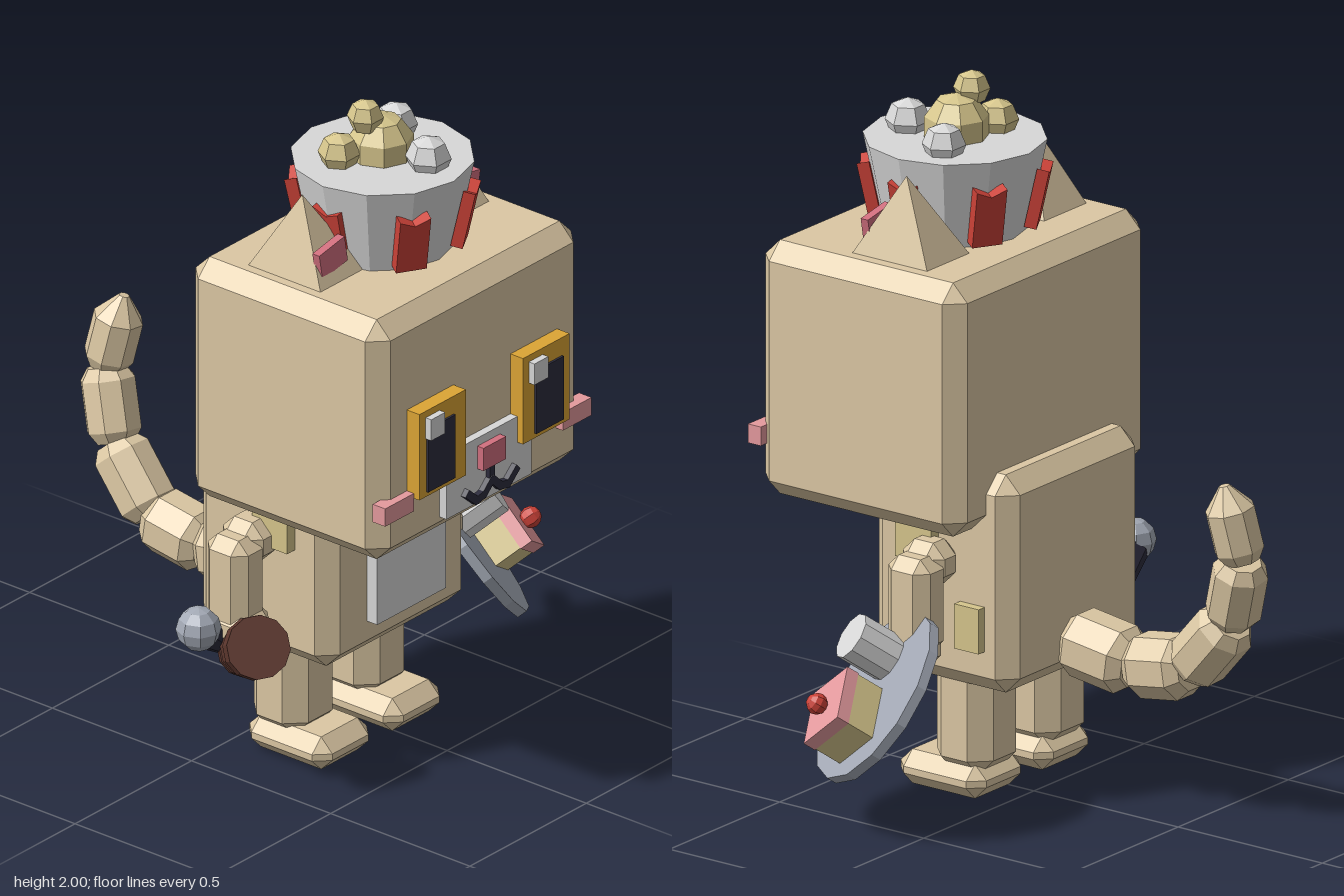
import * as THREE from 'three';
import { ConvexGeometry } from 'three/addons/geometries/ConvexGeometry.js';

const V = (x, y, z) => new THREE.Vector3(x, y, z);
const CX = -0.08; // symmetry plane of the figure
const UP = V(0, 1, 0);

function material(name, color) {
  const m = new THREE.MeshStandardMaterial({ color });
  m.name = name;
  return m;
}

// Faceted copy of a geometry
function flat(geo) {
  const g = geo.index ? geo.toNonIndexed() : geo;
  g.computeVertexNormals();
  return g;
}

// Box with all edges cut at 45 degrees
function chamferBox(w, h, d, c) {
  const pts = [];
  for (const x of [-1, 1]) for (const y of [-1, 1]) for (const z of [-1, 1]) {
    const a = w / 2, b = h / 2, e = d / 2;
    pts.push(V(x * a, y * (b - c), z * (e - c)), V(x * (a - c), y * b, z * (e - c)), V(x * (a - c), y * (b - c), z * e));
  }
  return new ConvexGeometry(pts);
}

export function createModel() {
  const root = new THREE.Group();
  root.name = 'catFigure';
  const fur = material('tan fur', 0xdcc8a4);
  const white = material('pale grey', 0xd8d8d8);
  const amber = material('amber', 0xdca535);
  const dark = material('dark navy', 0x2d2c3d);
  const rose = material('rose', 0xd2707f);
  const blush = material('blush pink', 0xe59a9e);
  const red = material('red', 0xcc4238);
  const brown = material('dark brown', 0x5e382f);
  const cream = material('pale yellow', 0xd6c68c);
  const steel = material('blue grey', 0xa3a9b5);

  function add(name, geo, mat, pos = V(0, 0, 0), parent = root) {
    const mesh = new THREE.Mesh(geo, mat);
    mesh.name = name;
    mesh.position.copy(pos);
    parent.add(mesh);
    return mesh;
  }
  // Box given by its limits on each axis; c > 0 cuts the edges
  function box(name, mat, x0, x1, y0, y1, z0, z1, c = 0) {
    const w = x1 - x0, h = y1 - y0, d = z1 - z0;
    const geo = c ? chamferBox(w, h, d, c) : new THREE.BoxGeometry(w, h, d);
    return add(name, geo, mat, V((x0 + x1) / 2, (y0 + y1) / 2, (z0 + z1) / 2));
  }
  // Faceted round part from a to b with radii ra and rb
  function rod(name, mat, a, b, ra, rb, sides) {
    const dir = b.clone().sub(a);
    const geo = flat(new THREE.CylinderGeometry(rb, ra, dir.length(), sides));
    const mesh = add(name, geo, mat, a.clone().add(b).multiplyScalar(0.5));
    mesh.quaternion.setFromUnitVectors(UP, dir.normalize());
    return mesh;
  }
  const ball = (name, mat, pos, r, ws = 6, hs = 4) =>
    add(name, flat(new THREE.SphereGeometry(r, ws, hs)), mat, pos);

  // Head and body
  box('head', fur, -0.52, 0.365, 0.82, 1.56, -0.01, 0.69, 0.05);
  box('body', fur, -0.39, 0.23, 0.345, 0.98, -0.09, 0.40, 0.05);
  box('belly', white, -0.225, 0.07, 0.455, 0.85, 0.39, 0.437);

  // Face
  box('muzzle', white, -0.26, 0.105, 0.885, 1.085, 0.68, 0.715);
  box('nose', rose, -0.127, -0.03, 0.99, 1.06, 0.7, 0.737);
  for (const [x, pupil, glint] of [[-0.4, -0.37, -0.373], [0.045, 0.095, 0.07]]) {
    box('eye', amber, x, x + 0.2, 1.005, 1.27, 0.68, 0.735);
    box('pupil', dark, pupil, pupil + 0.117, 1.02, 1.215, 0.73, 0.742);
    box('eyeGlint', white, glint, glint + 0.06, 1.185, 1.25, 0.73, 0.755);
  }
  box('mouthStem', dark, CX - 0.011, CX + 0.011, 0.93, 1.0, 0.7, 0.73);

  for (const s of [-1, 1]) {
    const X = (d) => CX + s * d;
    const sideBox = (name, mat, d0, d1, ...rest) =>
      box(name, mat, Math.min(X(d0), X(d1)), Math.max(X(d0), X(d1)), ...rest);

    // Mouth curve
    const curve = [[0, 0.945], [0.035, 0.912], [0.068, 0.905], [0.105, 0.938]];
    for (let i = 0; i < 3; i++) {
      const [ax, ay] = curve[i], [bx, by] = curve[i + 1];
      const bar = add('mouthBar', new THREE.BoxGeometry(Math.hypot(bx - ax, by - ay) + 0.012, 0.024, 0.03), dark,
        V(X((ax + bx) / 2), (ay + by) / 2, 0.717));
      bar.rotation.z = s * Math.atan2(by - ay, bx - ax);
    }
    sideBox('cheek', blush, 0.32, 0.443, 0.965, 1.02, 0.67, 0.715);

    // Ear
    const ear = [V(X(0.285), 1.79, 0.285)];
    for (const d of [0.165, 0.365]) for (const z of [0.15, 0.42]) ear.push(V(X(d), 1.55, z));
    add('ear', new ConvexGeometry(ear), fur);
    const inner = add('innerEar', new THREE.BoxGeometry(0.11, 0.08, 0.025), rose, V(X(0.285), 1.63, 0.385));
    inner.rotation.z = -s * 0.18;

    // Limbs
    sideBox('leg', fur, 0.05, 0.257, 0.06, 0.42, 0.045, 0.24, 0.052);
    sideBox('foot', fur, 0.035, 0.27, 0, 0.1, 0.05, 0.347, 0.04);
    sideBox('shoulder', fur, 0.29, 0.42, 0.65, 0.78, 0.08, 0.225, 0.04);
    sideBox('arm', fur, 0.35, 0.48, 0.47, 0.75, 0.08, 0.225, 0.035);
    sideBox('hand', fur, 0.345, 0.485, 0.42, 0.54, 0.09, 0.25, 0.04);

    // Patches on the flanks
    sideBox('upperPatch', cream, 0.3, 0.345, 0.70, 0.82, 0.155, 0.28);
    sideBox('lowerPatch', cream, 0.3, 0.338, 0.47, 0.6, -0.005, 0.08);
  }

  // Bucket with ribbons
  add('bucket', flat(new THREE.CylinderGeometry(0.257, 0.198, 0.28, 12)), white, V(CX, 1.68, 0.335));
  const tag = new THREE.Shape([[-0.045, -0.085], [0.045, -0.085], [0.045, 0.09], [0, 0.07], [-0.045, 0.09]]
    .map(([x, y]) => new THREE.Vector2(x, y)));
  const tagGeo = new THREE.ExtrudeGeometry(tag, { depth: 0.035, bevelEnabled: false });
  for (const deg of [-150, -90, -30, 30, 90, 150]) {
    const pivot = new THREE.Group();
    pivot.name = 'ribbonPivot';
    pivot.position.set(CX, 1.66, 0.335);
    pivot.rotation.y = THREE.MathUtils.degToRad(deg);
    root.add(pivot);
    const r = Math.abs(deg) === 90 ? 0.195 : 0.215;
    add('ribbon', tagGeo, red, V(0, 0, r), pivot).rotation.x = 0.21;
  }

  // Nuggets in the bucket
  ball('largeNugget', cream, V(CX, 1.85, 0.33), 0.095, 8, 5);
  ball('topNugget', cream, V(-0.13, 1.95, 0.315), 0.052);
  ball('sideNugget', cream, V(-0.195, 1.85, 0.275), 0.06);
  ball('paleNugget', white, V(0.055, 1.845, 0.27), 0.062);
  ball('paleNugget', white, V(-0.05, 1.845, 0.475), 0.065);

  // Tail of bevelled segments
  const path = [V(-0.08, 0.44, -0.07), V(-0.08, 0.41, -0.29), V(-0.08, 0.44, -0.485),
    V(-0.065, 0.61, -0.635), V(-0.03, 0.81, -0.7), V(0.0, 1.03, -0.66)];
  const radii = [0.1, 0.095, 0.088, 0.08, 0.072];
  radii.forEach((r, i) => {
    const dir = path[i + 1].clone().sub(path[i]);
    const len = dir.length(), last = i === radii.length - 1;
    const profile = [[0, 0], [r * 0.7, 0], [r, 0.035], [r, len - (last ? 0.07 : 0.035)],
      [last ? 0.015 : r * 0.7, len], [0, len]].map(([x, y]) => new THREE.Vector2(x, y));
    const seg = add('tailSegment', flat(new THREE.LatheGeometry(profile, 8, Math.PI / 8)), fur, path[i]);
    seg.quaternion.setFromUnitVectors(UP, dir.normalize());
  });

  // Tray held out by the left hand, with a cup and a slice of cake
  const n = V(0.64, 0.57, 0.52).normalize();
  const e1 = V(0.14, -0.095, -0.076);
  e1.addScaledVector(n, -e1.dot(n)).normalize();
  const e2 = n.clone().cross(e1);
  const tray = new THREE.Group();
  tray.name = 'tray';
  tray.position.set(0.48, 0.37, 0.175);
  tray.quaternion.setFromRotationMatrix(new THREE.Matrix4().makeBasis(e1, n, e2.clone().negate()));
  root.add(tray);
  const onTray = (x, y, z, h) => {
    const p = V(x, y, z).sub(tray.position);
    return V(p.dot(e1), h, -p.dot(e2));
  };
  add('plate', flat(new THREE.CylinderGeometry(0.265, 0.265, 0.03, 14)), steel, V(0, 0, 0), tray);
  add('cup', flat(new THREE.CylinderGeometry(0.07, 0.07, 0.13, 10)), white, onTray(0.455, 0.5, 0.225, 0.08), tray);
  add('cake', new THREE.BoxGeometry(0.18, 0.09, 0.155), cream, onTray(0.64, 0.377, 0.232, 0.055), tray);
  add('icing', new THREE.BoxGeometry(0.185, 0.038, 0.16), blush, onTray(0.64, 0.377, 0.232, 0.118), tray);
  add('cherry', flat(new THREE.SphereGeometry(0.031, 8, 6)), red, onTray(0.663, 0.387, 0.252, 0.16), tray);

  // Microphone in the right hand
  ball('microphoneHead', steel, V(-0.655, 0.52, 0.155), 0.064, 8, 6);
  rod('microphoneHandle', dark, V(-0.48, 0.385, 0.1), V(-0.63, 0.5, 0.145), 0.028, 0.05, 8);

  // Banded drum in the right hand
  const front = V(-0.6, 0.495, 0.325), back = V(-0.475, 0.39, 0.17);
  const bands = [[0, 0.3, 0.09, brown], [0.3, 0.46, 0.075, white], [0.46, 0.72, 0.08, brown],
    [0.72, 0.85, 0.07, white], [0.85, 1, 0.078, brown]];
  for (const [t0, t1, r, mat] of bands)
    rod('drumBand', mat, front.clone().lerp(back, t0), front.clone().lerp(back, t1), r, r, 12);

  return root;
}
